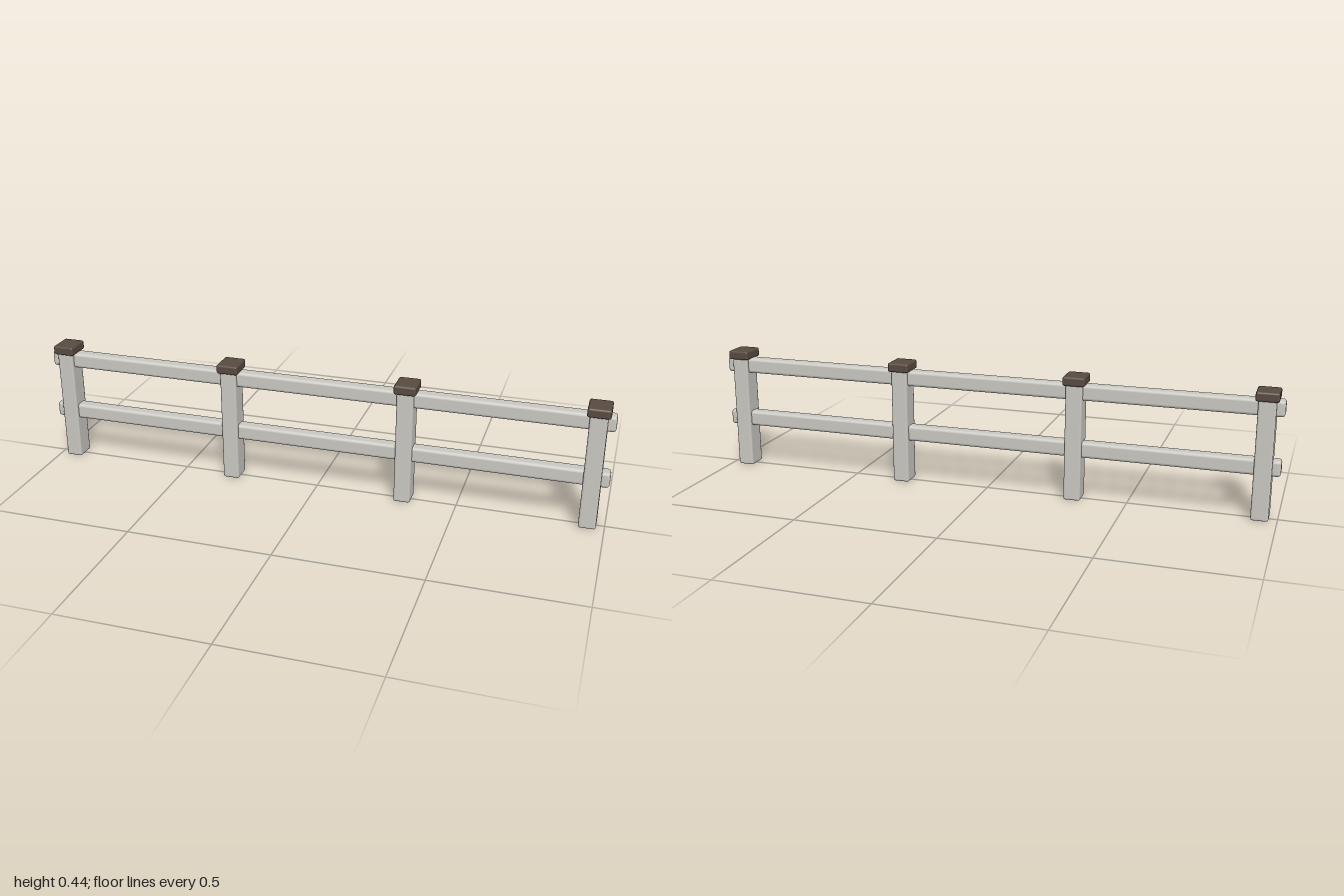
import * as THREE from 'three';
import { RoundedBoxGeometry } from 'three/addons/geometries/RoundedBoxGeometry.js';

export function createModel() {
  const fence = new THREE.Group();
  fence.name = 'fence';

  const paint = new THREE.MeshStandardMaterial({ color: 0xcac8c2 });
  paint.name = 'pale grey wood';
  const dark = new THREE.MeshStandardMaterial({ color: 0x584b41 });
  dark.name = 'dark brown cap';

  // Softly bevelled block resting at height y
  function block(name, w, h, d, bevel, material, x, y) {
    const mesh = new THREE.Mesh(new RoundedBoxGeometry(w, h, d, 2, bevel), material);
    mesh.name = name;
    mesh.position.set(x, y + h / 2, 0);
    fence.add(mesh);
  }

  // Four evenly spaced posts with caps
  const spacing = 0.629;
  for (let i = 0; i < 4; i++) {
    const x = (i - 1.5) * spacing;
    block('post', 0.058, 0.412, 0.072, 0.007, paint, x, 0);
    block('postCap', 0.076, 0.032, 0.09, 0.007, dark, x, 0.403);
  }

  // Two rails running through the posts and poking out at both ends
  block('lowerRail', 2, 0.055, 0.047, 0.011, paint, 0, 0.151);
  block('upperRail', 2, 0.055, 0.047, 0.011, paint, 0, 0.351);

  return fence;
}
